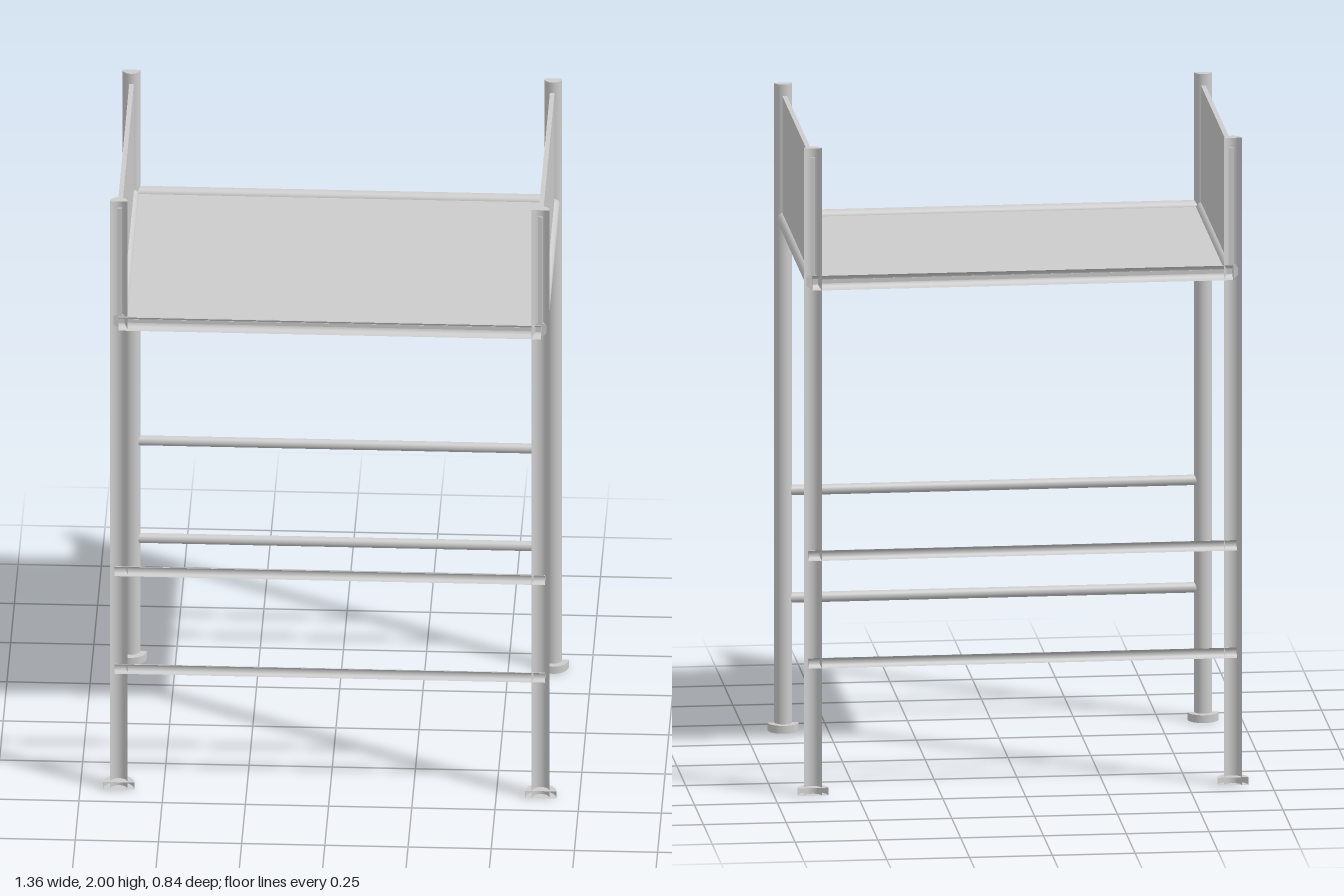
import * as THREE from 'three';

const material = new THREE.MeshStandardMaterial({ color: 0xcccccc, side: THREE.DoubleSide });
const POST_X = 0.634;   // post centre line
const FACE_Z = 0.421;   // open plane of the half-round channels
const DECK_Y = 1.583;   // height of the deck frame

function mesh(name, geometry, x, y, z) {
  const m = new THREE.Mesh(geometry, material);
  m.name = name;
  m.position.set(x, y, z);
  return m;
}

// Half-round channel standing on y, open towards +z
const channel = (radius, length) =>
  new THREE.CylinderGeometry(radius, radius, length, 20, 1, false, Math.PI / 2, Math.PI);

// One long side: two posts with feet, two rungs and the deck rail
function buildFrame(name) {
  const frame = new THREE.Group();
  frame.name = name;
  for (const side of [-1, 1]) {
    frame.add(mesh('post', channel(0.027, 2), side * POST_X, 1, FACE_Z));
    frame.add(mesh('foot', channel(0.047, 0.024), side * POST_X, 0.012, FACE_Z));
  }
  const bars = [
    ['lowerRung', 0.016, 0.409, 1.294],
    ['upperRung', 0.016, 0.741, 1.294],
    ['deckRail', 0.0225, DECK_Y, 1.27],
  ];
  for (const [label, radius, y, length] of bars) {
    const geometry = channel(radius, length).rotateZ(Math.PI / 2);
    frame.add(mesh(label, geometry, 0, y, FACE_Z));
  }
  return frame;
}

export function createModel() {
  const model = new THREE.Group();
  model.name = 'raisedBedFrame';

  const front = buildFrame('frontFrame');
  const back = buildFrame('backFrame');
  back.rotation.y = Math.PI;
  model.add(front, back);

  // Thin deck between the rails
  model.add(mesh('deck', new THREE.BoxGeometry(1.264, 0.012, 0.8), 0, DECK_Y, 0));

  // Round end rails with upright panels above them
  for (const side of [-1, 1]) {
    const rail = new THREE.CylinderGeometry(0.0225, 0.0225, 0.8, 24).rotateX(Math.PI / 2);
    model.add(mesh('endRail', rail, side * 0.632, DECK_Y, 0));
    model.add(mesh('endPanel', new THREE.BoxGeometry(0.014, 0.37, 0.8), side * 0.632, 1.78, 0));
  }
  return model;
}
